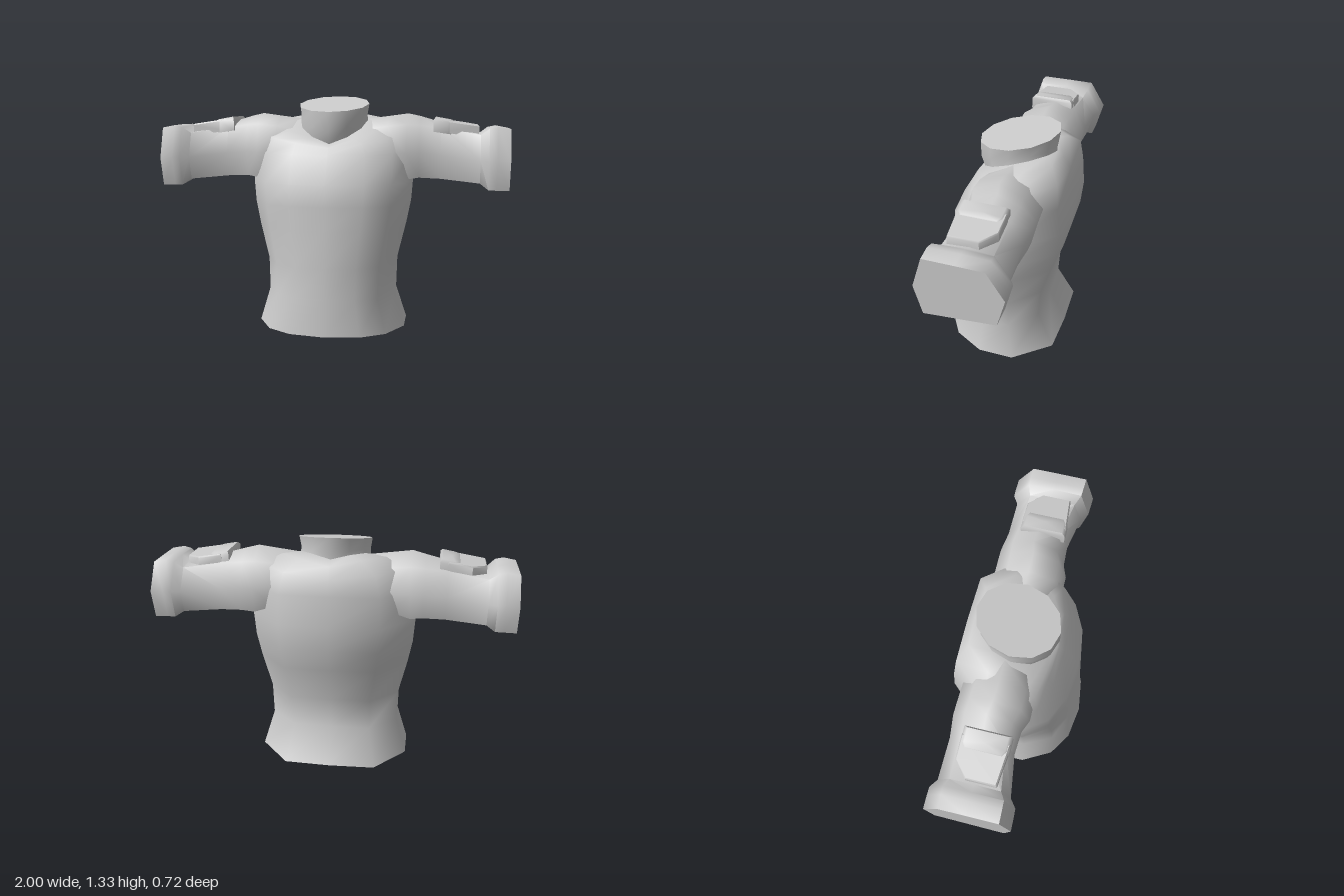
import * as THREE from 'three';
import { toCreasedNormals } from 'three/addons/utils/BufferGeometryUtils.js';

// Skin a stack of equal-length rings and close both ends; side = -1 mirrors in x.
function loft(rings, side = 1, crease = 1.1) {
  const n = rings[0].length, pos = [], idx = [];
  const put = (p) => pos.push(p[0] * side, p[1], p[2]);
  const tri = (a, b, c) => (side > 0 ? idx.push(a, b, c) : idx.push(a, c, b));
  rings.forEach((r) => r.forEach(put));
  for (let k = 0; k < rings.length - 1; k++) {
    for (let i = 0; i < n; i++) {
      const j = (i + 1) % n, a = k * n, b = a + n;
      tri(a + i, a + j, b + j);
      tri(a + i, b + j, b + i);
    }
  }
  [0, rings.length - 1].forEach((k) => {
    const c = pos.length / 3;
    put([0, 1, 2].map((d) => rings[k].reduce((s, p) => s + p[d], 0) / n));
    for (let i = 0; i < n; i++) {
      const j = (i + 1) % n;
      if (k) tri(c, k * n + i, k * n + j);
      else tri(c, j, i);
    }
  });
  const g = new THREE.BufferGeometry();
  g.setAttribute('position', new THREE.Float32BufferAttribute(pos, 3));
  g.setIndex(idx);
  return toCreasedNormals(g, crease);
}

// Half outline of the body, front middle to back middle, as [x, z] fractions
const HALF = [[0, 1], [0.46, 0.92], [0.78, 0.68], [1, 0.2], [1, -0.38], [0.6, -0.97], [0, -1]];
const OUTLINE = [...HALF, ...HALF.slice(1, -1).reverse().map(([x, z]) => [-x, z])];

// Body ring: half width, front z and y, back z and y, lift of the sides, roundness
function bodyRing([w, zf, yf, zb, yb, lift = 0, round = 0]) {
  return OUTLINE.map(([u, v], i) => {
    const a = (i / OUTLINE.length) * Math.PI * 2;
    const x = w * THREE.MathUtils.lerp(u, Math.sin(a), round);
    const zOval = (zf + zb) / 2 + (Math.cos(a) * (zf - zb)) / 2;
    const z = THREE.MathUtils.lerp(v > 0 ? v * zf : -v * zb, zOval, round);
    const t = (zf - z) / (zf - zb);
    return [x, yf + (yb - yf) * t + (lift * Math.abs(x)) / w, z];
  });
}

// Sleeve ring at x: bottom, top, ridge height, back z, front z
function sleeveRing([x, y0, y1, ridge, z0, z1]) {
  const P = (u, v) => [x, y0 + (y1 - y0) * v, z0 + (z1 - z0) * u];
  return [P(0, 0.57), P(0.2, 1), [x, ridge, z0 + (z1 - z0) * 0.52], P(0.88, 1),
    P(1, 0.48), P(0.91, 0), P(0.09, 0.1)];
}

// Ring of a sloping pad: plan outline shrunk about its middle, at a height
function padRing(plan, height, scale, slope) {
  const cx = plan.reduce((s, p) => s + p[0], 0) / plan.length;
  const cz = plan.reduce((s, p) => s + p[1], 0) / plan.length;
  return plan.map(([x, z]) => [cx + (x - cx) * scale, height - slope * (x - 0.58), cz + (z - cz) * scale]);
}

export function createModel() {
  const group = new THREE.Group();
  const cloth = new THREE.MeshStandardMaterial({ color: 0xcccccc });
  cloth.name = 'light grey cloth';
  const add = (name, geometry) => {
    const mesh = new THREE.Mesh(geometry, cloth);
    mesh.name = name;
    group.add(mesh);
  };

  // Torso from hem to neck
  add('torso', loft([
    [0.43, 0.36, 0, -0.345, 0],
    [0.37, 0.34, 0.2, -0.24, 0.2],
    [0.375, 0.333, 0.38, -0.25, 0.38],
    [0.425, 0.317, 0.59, -0.315, 0.59],
    [0.45, 0.308, 0.72, -0.347, 0.72],
    [0.46, 0.3, 0.84, -0.36, 0.86],
    [0.455, 0.21, 1.0, -0.345, 1.03],
    [0.41, 0.18, 1.04, -0.33, 1.12, 0.05],
    [0.3, 0.17, 1.05, -0.285, 1.18, 0.07, 0.4],
    [0.2, 0.155, 1.06, -0.25, 1.21, 0.06, 0.9],
  ].map(bodyRing), 1, 1.2));

  // Tilted collar, closed across the rim
  add('collar', loft([
    [0.2, 0.15, 1.05, -0.25, 1.2, 0.05, 0.9],
    [0.195, 0.178, 1.13, -0.25, 1.235, 0.04, 1],
    [0.205, 0.18, 1.24, -0.265, 1.33, 0, 1],
  ].map(bodyRing)));

  const strapPlan = [[0.578, 0.07], [0.66, 0.07], [0.69, 0.05], [0.69, -0.16], [0.66, -0.178], [0.578, -0.178]];
  const flapPlan = [[0.62, 0.07], [0.83, 0.05], [0.83, -0.11], [0.75, -0.18], [0.62, -0.18]];

  for (const [side, label] of [[1, 'left'], [-1, 'right']]) {
    // Shoulder, sleeve and flared cuff in one sweep
    add(label + 'Sleeve', loft([
      [0.2, 0.95, 1.14, 1.2, -0.24, 0.09],
      [0.32, 0.9, 1.16, 1.215, -0.27, 0.12],
      [0.43, 0.86, 1.17, 1.23, -0.275, 0.12],
      [0.5, 0.87, 1.165, 1.215, -0.275, 0.092],
      [0.62, 0.865, 1.15, 1.18, -0.26, 0.085],
      [0.84, 0.845, 1.115, 1.125, -0.265, 0.12],
      [0.885, 0.812, 1.15, 1.155, -0.295, 0.155],
      [0.93, 0.81, 1.16, 1.163, -0.295, 0.158],
      [1, 0.81, 1.147, 1.148, -0.295, 0.16],
    ].map(sleeveRing), side));

    // Rounded strap nearest the shoulder
    add(label + 'ShoulderStrap', loft([
      padRing(strapPlan, 1.13, 1, 0.15),
      padRing(strapPlan, 1.195, 1, 0.15),
      padRing(strapPlan, 1.21, 0.85, 0.15),
    ], side));

    // Flat flap with a clipped back corner
    add(label + 'ShoulderFlap', loft([
      padRing(flapPlan, 1.135, 1, 0.15),
      padRing(flapPlan, 1.195, 1, 0.14),
      padRing(flapPlan, 1.203, 0.95, 0.14),
    ], side, 0.7));
  }
  return group;
}
